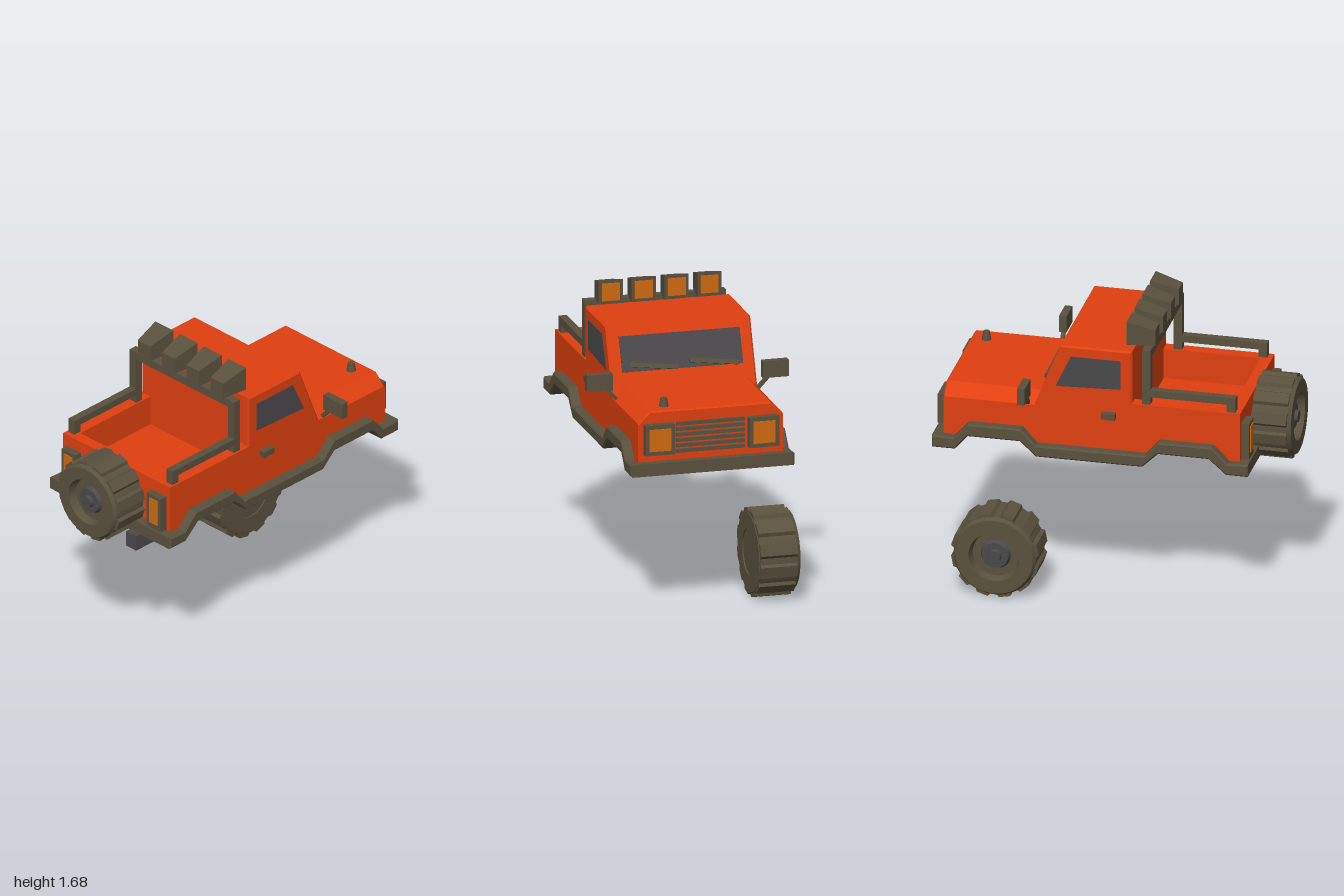
import * as THREE from 'three';
import { toCreasedNormals } from 'three/addons/utils/BufferGeometryUtils.js';

const material = (name, color) => {
  const m = new THREE.MeshStandardMaterial({ color });
  m.name = name;
  return m;
};

export function createModel() {
  const red = material('red paint', 0xe04010);
  const olive = material('olive trim', 0x5a513e);
  const grey = material('dark grey glass', 0x4b494b);
  const amber = material('amber lens', 0xd06a10);

  const truck = new THREE.Group();
  truck.name = 'pickupTruck';

  const add = (name, geometry, mat, parent = truck) => {
    const mesh = new THREE.Mesh(geometry, mat);
    mesh.name = name;
    parent.add(mesh);
    return mesh;
  };
  // box from minimum and maximum corners
  const box = (name, x0, x1, y0, y1, z0, z1, mat, parent) => {
    const mesh = add(name, new THREE.BoxGeometry(x1 - x0, y1 - y0, z1 - z0), mat, parent);
    mesh.position.set((x0 + x1) / 2, (y0 + y1) / 2, (z0 + z1) / 2);
    return mesh;
  };
  // side profile extruded across the width, keeping its outer size when bevelled
  const shapeOf = pts => new THREE.Shape(pts.map(([x, y]) => new THREE.Vector2(x, y)));
  const across = (pts, width, bevel = 0) => new THREE.ExtrudeGeometry(shapeOf(pts), {
    depth: width - 2 * bevel, bevelEnabled: bevel > 0, bevelSize: bevel,
    bevelThickness: bevel, bevelOffset: -bevel, bevelSegments: 1,
  }).translate(0, 0, -width / 2 + bevel);

  // lower trim with raised wheel arches, closed underneath
  const archTop = [[-0.7, 0.93], [-0.61, 1.02], [-0.3, 1.02], [-0.225, 0.93],
    [0.4, 0.93], [0.485, 1.02], [0.79, 1.02], [0.87, 0.93]];
  const archBottom = [[-0.69, 0.863], [-0.59, 0.95], [-0.3, 0.95], [-0.21, 0.863],
    [0.4, 0.863], [0.49, 0.947], [0.79, 0.947], [0.863, 0.863]];
  add('lowerTrim', across([[-0.815, 0.863], ...archBottom, [0.995, 0.863], [0.995, 0.935],
    ...[...archTop].reverse(), [-0.815, 0.935]], 0.95, 0.008), olive);

  // body: lower shell, bed walls, cab and hood
  add('lowerBody', across([[-0.76, 0.91], ...archTop.map(([x, y]) => [x, y - 0.02]), [0.94, 0.91],
    [0.94, 1.15], [-0.14, 1.15], [-0.14, 1.04], [-0.76, 1.04]], 0.84), red);
  for (const s of [-1, 1]) {
    const wall = box('bedSide', -0.76, -0.13, 1.03, 1.22, -0.035, 0.035, red);
    wall.position.z = s * 0.385;
  }
  box('tailgate', -0.76, -0.695, 1.03, 1.22, -0.35, 0.35, red);
  add('cab', across([[-0.14, 1.03], [0.42, 1.03], [0.42, 1.16], [0.27, 1.535], [-0.14, 1.535]], 0.84, 0.01), red);
  const hood = across([[-0.42, 1.05], [0.42, 1.05], [0.42, 1.155], [0.35, 1.222], [-0.35, 1.222], [-0.42, 1.155]], 0.64, 0.008);
  add('hood', hood.rotateY(Math.PI / 2), red).position.x = 0.62;

  // windscreen and wipers on the sloping cab front
  const screen = new THREE.Group();
  screen.name = 'windscreen';
  screen.position.set(0.332, 1.38, 0);
  screen.rotation.z = Math.atan2(0.15, 0.375);
  truck.add(screen);
  add('windscreenGlass', new THREE.BoxGeometry(0.009, 0.203, 0.7), grey, screen);
  for (const z of [0.17, -0.18]) {
    const wiper = add('wiper', new THREE.BoxGeometry(0.015, 0.025, 0.28), olive, screen);
    wiper.position.set(0.01, -0.078, z);
    wiper.rotation.x = -0.12;
  }

  // parts mirrored on both sides
  for (const s of [-1, 1]) {
    const sided = (name, x0, x1, y0, y1, z0, z1, mat) =>
      box(name, x0, x1, y0, y1, Math.min(s * z0, s * z1), Math.max(s * z0, s * z1), mat);

    const glass = across([[-0.075, 1.3], [0.297, 1.286], [0.21, 1.473], [-0.075, 1.473]], 0.008);
    add('sideWindow', glass, grey).position.z = s * 0.419;
    sided('doorHandle', -0.05, 0.03, 1.122, 1.158, 0.41, 0.455, olive);

    // mirror on a slanted stalk
    sided('mirror', 0.437, 0.48, 1.222, 1.318, 0.435, 0.585, olive);
    const stalk = add('mirrorStalk', new THREE.BoxGeometry(0.022, 0.1, 0.02), olive);
    stalk.position.set(0.458, 1.195, s * 0.44);
    stalk.rotation.x = s * 0.75;

    // front and rear lamps
    sided('headlightHousing', 0.93, 0.98, 0.976, 1.152, 0.214, 0.388, olive);
    sided('headlightLens', 0.978, 0.985, 1.0, 1.128, 0.237, 0.365, amber);
    sided('tailLampHousing', -0.805, -0.75, 0.93, 1.15, 0.28, 0.39, olive);
    sided('tailLampLens', -0.81, -0.803, 0.97, 1.128, 0.302, 0.368, amber);

    // roll bar legs and bed rails
    sided('rollBarPost', -0.243, -0.195, 1.21, 1.548, 0.36, 0.41, olive);
    sided('bedRail', -0.73, -0.22, 1.265, 1.307, 0.362, 0.408, olive);
    sided('bedRailPost', -0.73, -0.68, 1.21, 1.27, 0.362, 0.408, olive);
  }
  box('rollBarTop', -0.243, -0.195, 1.5, 1.548, -0.41, 0.41, olive);

  // grille slats
  for (let i = 0; i < 6; i++) {
    const y = 0.985 + i * 0.0315;
    box('grilleSlat', 0.93, 0.955, y - 0.01, y + 0.01, -0.195, 0.2, olive);
  }

  // roof lamps, tapering toward the back
  for (let i = 0; i < 4; i++) {
    const lamp = new THREE.Group();
    lamp.name = 'roofLamp';
    lamp.position.z = -0.286 + i * 0.1905;
    truck.add(lamp);
    const housing = across([[-0.254, 1.548], [-0.094, 1.548], [-0.094, 1.688], [-0.254, 1.644]], 0.14);
    const p = housing.attributes.position;
    for (let k = 0; k < p.count; k++) if (p.getX(k) < -0.2) p.setZ(k, p.getZ(k) * 0.7);
    housing.computeVertexNormals();
    add('roofLampHousing', housing, olive, lamp);
    box('roofLampLens', -0.096, -0.088, 1.567, 1.669, -0.052, 0.052, amber, lamp);
  }

  // hood cap and tow hitch
  add('hoodCap', new THREE.CylinderGeometry(0.018, 0.028, 0.055, 16), olive).position.set(0.85, 1.245, 0.245);
  box('towHitch', -0.855, -0.6, 0.777, 0.87, 0.167, 0.247, grey);

  // wheel built along +y, with its hub on the outer (+y) face
  const makeWheel = name => {
    const wheel = new THREE.Group();
    wheel.name = name;
    const profile = [[0, 0.008], [0.13, 0.008], [0.13, 0], [0.225, 0], [0.236, 0.012], [0.236, 0.218],
      [0.222, 0.24], [0.145, 0.24], [0.132, 0.19], [0, 0.19]].map(([r, h]) => new THREE.Vector2(r, h));
    add('tyre', toCreasedNormals(new THREE.LatheGeometry(profile, 48), 0.5), olive, wheel);
    const lugs = 12;
    const outline = [];
    for (let i = 0; i < lugs; i++) {
      for (const [t, r] of [[0.08, 0.235], [0.18, 0.252], [0.68, 0.254], [0.8, 0.235]]) {
        const a = (i + t) / lugs * Math.PI * 2;
        outline.push([Math.cos(a) * r, Math.sin(a) * r]);
      }
    }
    const tread = shapeOf(outline);
    tread.holes.push(new THREE.Path().absarc(0, 0, 0.2, 0, Math.PI * 2, true));
    const treadGeo = new THREE.ExtrudeGeometry(tread, { depth: 0.214, bevelEnabled: false, curveSegments: 24 });
    add('treadLugs', treadGeo.rotateX(-Math.PI / 2).translate(0, 0.004, 0), olive, wheel);
    add('hub', new THREE.CylinderGeometry(0.075, 0.088, 0.03, 32), grey, wheel).position.y = 0.2;
    add('hubCap', new THREE.CylinderGeometry(0.034, 0.04, 0.03, 24), grey, wheel).position.y = 0.222;
    truck.add(wheel);
    return wheel;
  };

  const frontWheel = makeWheel('frontWheel');
  frontWheel.position.set(0.62, 0.26, -0.31);
  frontWheel.rotation.x = -Math.PI / 2;

  const spare = makeWheel('spareWheel');
  spare.scale.setScalar(0.95);
  spare.position.set(-0.773, 1.05, 0);
  spare.rotation.z = Math.PI / 2;

  return truck;
}
